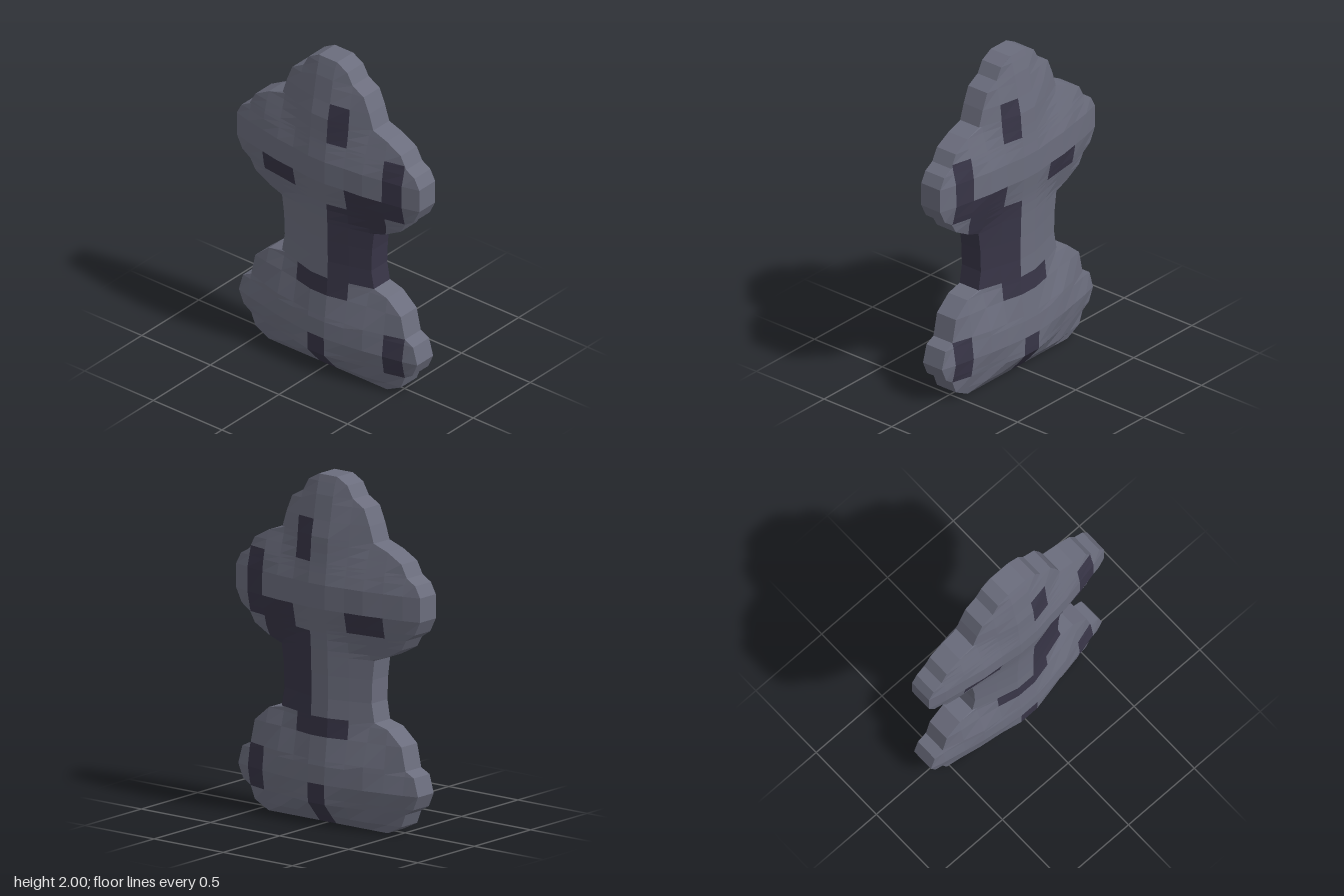
import * as THREE from 'three';

// Half outline from the top centre down to the base: [half width, height]
const OUTLINE = [
  [0.066, 2], [0.14, 1.96], [0.18, 1.89], [0.26, 1.845], [0.3, 1.75], [0.33, 1.655],
  [0.43, 1.62], [0.53, 1.565], [0.57, 1.49], [0.63, 1.455], [0.665, 1.39], [0.665, 1.25],
  [0.625, 1.17], [0.565, 1.13], [0.53, 1.07], [0.42, 1.01], [0.335, 0.98], [0.32, 0.865],
  [0.315, 0.73], [0.335, 0.62], [0.43, 0.595], [0.53, 0.51], [0.56, 0.375], [0.62, 0.345],
  [0.65, 0.24], [0.615, 0.16], [0.56, 0.125], [0.53, 0.05], [0.43, 0],
];
// Column lines; the markings begin and end on these
const COLUMNS = [0.665, 0.56, 0.435, 0.31, 0.185, 0.06];
const XS = [...COLUMNS.map((x) => -x), ...COLUMNS.slice().reverse()];
const ROWS = [...new Set([...OUTLINE.map((p) => p[1]), 1.11, 1.51])].sort((a, b) => b - a);
const RIM = 0.07;

// Dark markings: [x min, x max, y min, y max]
const MARKS = [
  [0.06, 0.185, 1.51, 1.75],
  [-0.435, -0.185, 1.13, 1.25],
  [0.435, 0.56, 1.13, 1.51],
  [0.185, 0.435, 1.01, 1.25],
  [0.06, 0.7, 0.62, 1.01],
  [0.06, 0.185, 1.01, 1.11],
  [-0.185, 0.185, 0.51, 0.62],
  [0.435, 0.56, 0.125, 0.375],
  [-0.06, 0.06, 0, 0.24],
];
const isMarked = (x, y) => MARKS.some(([a, b, c, d]) => x > a && x < b && y > c && y < d);

function halfWidth(y) {
  for (let i = 1; i < OUTLINE.length; i++) {
    const [w0, y0] = OUTLINE[i - 1], [w1, y1] = OUTLINE[i];
    if (y >= y1) return w1 + ((w0 - w1) * (y - y1)) / (y0 - y1);
  }
  return OUTLINE[OUTLINE.length - 1][0];
}

// Outline edges used to measure how far a point lies from the rim
const corners = [[0, 2], ...OUTLINE].map(([x, y]) => new THREE.Vector3(x, y, 0));
const edges = corners.slice(1).map((p, i) => new THREE.Line3(corners[i], p));
const nearest = new THREE.Vector3();

// The faces swell away from the rim and slope straight in at the base
function depth(x, y) {
  const p = new THREE.Vector3(Math.abs(x), y, 0);
  const d = Math.min(...edges.map((e) => e.closestPointToPoint(p, true, nearest).distanceTo(p)));
  const swell = 0.11 * (1 - Math.pow(1 - Math.min(d / 0.42, 1), 1.2));
  return RIM + Math.min(swell, 0.88 * y);
}

// Adds a quad, corners anticlockwise seen from outside, skipping collapsed triangles
function addQuad(out, a, b, c, d) {
  for (const tri of [[a, b, c], [a, c, d]]) {
    const [p, q, r] = tri.map((v) => new THREE.Vector3(...v));
    if (q.sub(p).cross(r.sub(p)).length() > 1e-8) out.push(...tri.flat());
  }
}

function buildMesh(name, positions, material) {
  const geometry = new THREE.BufferGeometry();
  geometry.setAttribute('position', new THREE.Float32BufferAttribute(positions, 3));
  geometry.computeVertexNormals();
  const mesh = new THREE.Mesh(geometry, material);
  mesh.name = name;
  return mesh;
}

export function createModel() {
  const stone = new THREE.MeshStandardMaterial({ color: 0x6b6d7d });
  stone.name = 'slate grey';
  const dark = new THREE.MeshStandardMaterial({ color: 0x383547 });
  dark.name = 'dark violet grey';

  const faces = { plain: [], marked: [] };
  const rim = { plain: [], marked: [] };
  const clampX = (x, y) => THREE.MathUtils.clamp(x, -halfWidth(y), halfWidth(y));

  for (let j = 0; j < ROWS.length - 1; j++) {
    const top = ROWS[j], low = ROWS[j + 1], midY = (top + low) / 2;

    // Front and back swollen faces
    for (let i = 0; i < XS.length - 1; i++) {
      const key = isMarked((XS[i] + XS[i + 1]) / 2, midY) ? 'marked' : 'plain';
      const point = (x, y, side) => {
        const cx = clampX(x, y);
        return [cx, y, side * depth(cx, y)];
      };
      for (const side of [1, -1]) {
        const quad = [
          point(XS[i], low, side), point(XS[i + 1], low, side),
          point(XS[i + 1], top, side), point(XS[i], top, side),
        ];
        if (side < 0) quad.reverse();
        addQuad(faces[key], ...quad);
      }
    }

    // Flat rim down both sides
    for (const side of [1, -1]) {
      const xt = side * halfWidth(top), xl = side * halfWidth(low);
      const key = side > 0 && midY > 0.62 && midY < 1.01 ? 'marked' : 'plain';
      const quad = [[xl, low, RIM], [xl, low, -RIM], [xt, top, -RIM], [xt, top, RIM]];
      if (side < 0) quad.reverse();
      addQuad(rim[key], ...quad);
    }
  }

  // Flat top and base of the rim
  for (let i = 0; i < XS.length - 1; i++) {
    const key = isMarked((XS[i] + XS[i + 1]) / 2, 0.01) ? 'marked' : 'plain';
    let a = clampX(XS[i], 0), b = clampX(XS[i + 1], 0);
    addQuad(rim[key], [a, 0, -RIM], [b, 0, -RIM], [b, 0, RIM], [a, 0, RIM]);
    a = clampX(XS[i], 2);
    b = clampX(XS[i + 1], 2);
    addQuad(rim.plain, [a, 2, RIM], [b, 2, RIM], [b, 2, -RIM], [a, 2, -RIM]);
  }

  const group = new THREE.Group();
  group.name = 'stoneSlab';
  group.add(
    buildMesh('slabFaces', faces.plain, stone),
    buildMesh('faceMarkings', faces.marked, dark),
    buildMesh('slabRim', rim.plain, stone),
    buildMesh('rimMarkings', rim.marked, dark),
  );
  return group;
}
